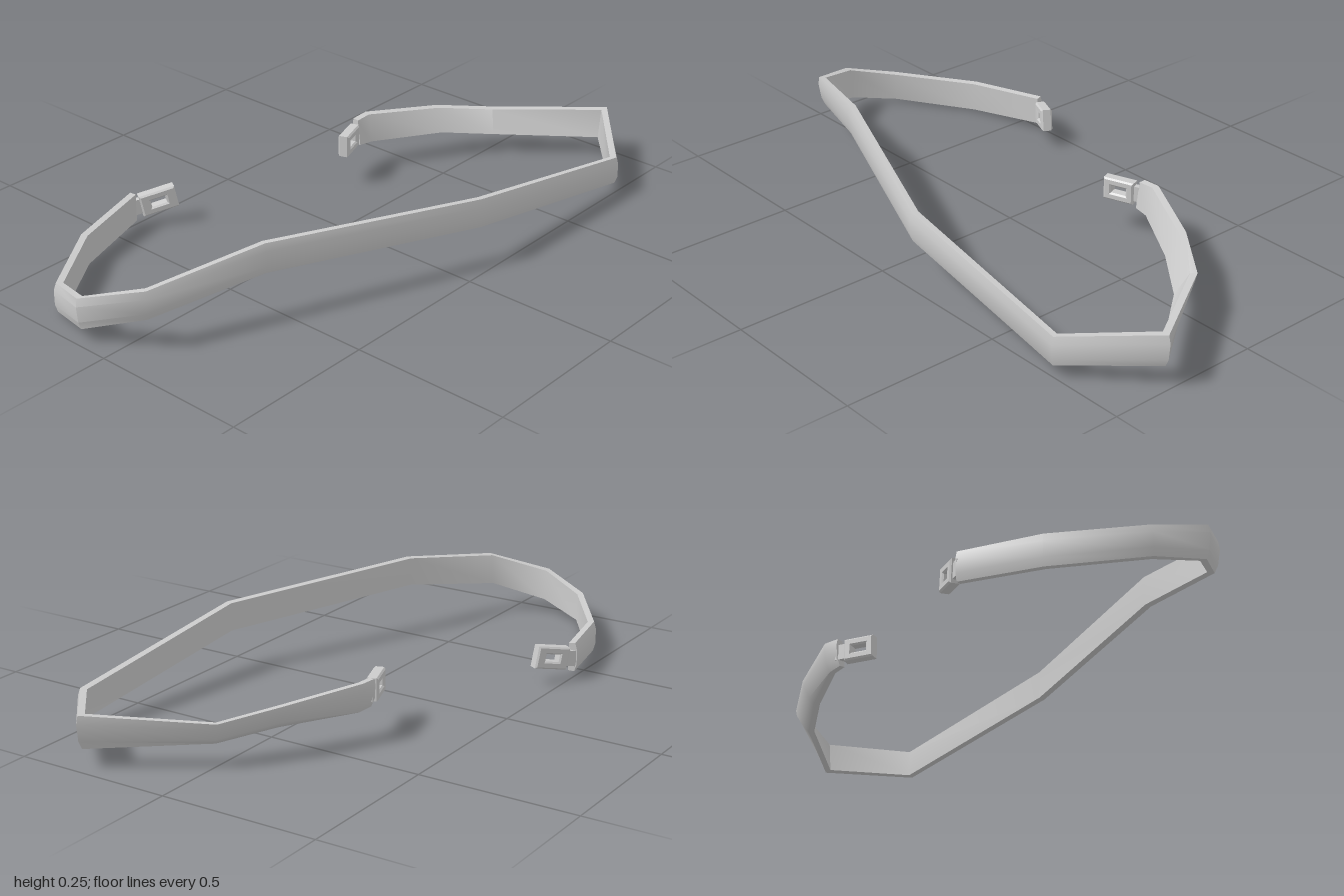
import * as THREE from 'three';
import { toCreasedNormals } from 'three/addons/utils/BufferGeometryUtils.js';

// Strap stations: x, y, z of the middle, half height, outward lean of the top edge
const STATIONS = [
  [-0.42, 0.07, -0.498, 0.047, 0],
  [-0.68, 0.052, -0.433, 0.05, 0],
  [-0.92, 0.057, -0.27, 0.048, 0],
  [-0.978, 0.095, -0.11, 0.052, 0.005],
  [-0.885, 0.148, 0.06, 0.05, 0.008],
  [-0.55, 0.203, 0.19, 0.048, 0],
  [0.10, 0.177, 0.452, 0.047, 0],
  [0.75, 0.085, 0.494, 0.045, 0],
  [0.973, 0.113, 0.30, 0.051, 0.005],
  [0.76, 0.102, 0.0, 0.037, 0.022],
  [0.61, 0.127, -0.11, 0.038, 0.02],
  [0.39, 0.138, -0.232, 0.047, 0.01],
  [0.335, 0.138, -0.236, 0.044, 0.006],
];

// Cross-section: outward offset, fraction of half height (outer face slightly rounded)
const SECTION = [
  [-0.013, -0.96], [0.007, -1], [0.014, -0.5], [0.014, 0.5], [0.007, 1], [-0.013, 0.96],
];

function strapGeometry() {
  const pts = STATIONS.map(([x, , z]) => new THREE.Vector2(x, z));
  const dir = (a, b) => b.clone().sub(a).normalize();
  const last = pts.length - 1, n = SECTION.length;
  const position = [], index = [];
  STATIONS.forEach(([x, y, z, half, lean], i) => {
    const before = dir(pts[Math.max(i - 1, 0)], pts[Math.max(i, 1)]);
    const after = dir(pts[Math.min(i, last - 1)], pts[Math.min(i + 1, last)]);
    const t = before.clone().add(after).normalize();
    const miter = 1 / Math.max(t.dot(before), 0.6);
    for (const [out, up] of SECTION) {
      const o = out * miter + lean * up;
      position.push(x - t.y * o, y + up * half, z + t.x * o);
    }
  });
  for (let i = 0; i < last; i++) {
    for (let j = 0; j < n; j++) {
      const a = i * n + j, b = i * n + (j + 1) % n;
      index.push(a, a + n, b, b, a + n, b + n);
    }
  }
  for (let j = 1; j < n - 1; j++) {
    index.push(0, j, j + 1);
    index.push(last * n, last * n + j + 1, last * n + j);
  }
  const g = new THREE.BufferGeometry();
  g.setAttribute('position', new THREE.Float32BufferAttribute(position, 3));
  g.setIndex(index);
  return toCreasedNormals(g, 0.95);
}

// Flat end piece with a slot, running along local +x from the neck
function slottedTab(material, name, length) {
  const group = new THREE.Group();
  group.name = name;
  const h = 0.036, b = 0.005;
  const shape = new THREE.Shape([
    [0.02 + b, -h + b], [length - b, -h + b], [length - b, h - b], [0.02 + b, h - b],
  ].map(p => new THREE.Vector2(...p)));
  const mid = (0.02 + length) / 2;
  shape.holes.push(new THREE.Path([
    [mid - 0.03, -0.017], [mid - 0.03, 0.017], [mid + 0.03, 0.017], [mid + 0.03, -0.017],
  ].map(p => new THREE.Vector2(...p))));
  const plate = new THREE.ExtrudeGeometry(shape, {
    depth: 0.026, bevelEnabled: true, bevelSize: b, bevelThickness: b, bevelSegments: 1,
  });
  plate.translate(0, 0, -0.013);
  const tab = new THREE.Mesh(plate, material);
  tab.name = name + 'Plate';
  const neck = new THREE.Mesh(new THREE.BoxGeometry(0.045, 0.05, 0.018), material);
  neck.name = name + 'Neck';
  neck.position.x = 0.008;
  group.add(tab, neck);
  return group;
}

// Place a group so that its local +x runs from one point towards another
function aim(group, from, to) {
  const a = new THREE.Vector3(...from);
  const x = new THREE.Vector3(...to).sub(a).normalize();
  const z = x.clone().cross(new THREE.Vector3(0, 1, 0)).normalize();
  const y = z.clone().cross(x);
  group.position.copy(a);
  group.quaternion.setFromRotationMatrix(new THREE.Matrix4().makeBasis(x, y, z));
  return group;
}

export function createModel() {
  const model = new THREE.Group();
  model.name = 'strap';
  const material = new THREE.MeshStandardMaterial({ color: 0xcccccc });

  const band = new THREE.Mesh(strapGeometry(), material);
  band.name = 'band';
  model.add(band);

  model.add(aim(slottedTab(material, 'rightTab', 0.135),
    [-0.417, 0.068, -0.495], [-0.303, 0.094, -0.427]));
  model.add(aim(slottedTab(material, 'leftTab', 0.12),
    [0.336, 0.138, -0.235], [0.23, 0.138, -0.197]));
  return model;
}
